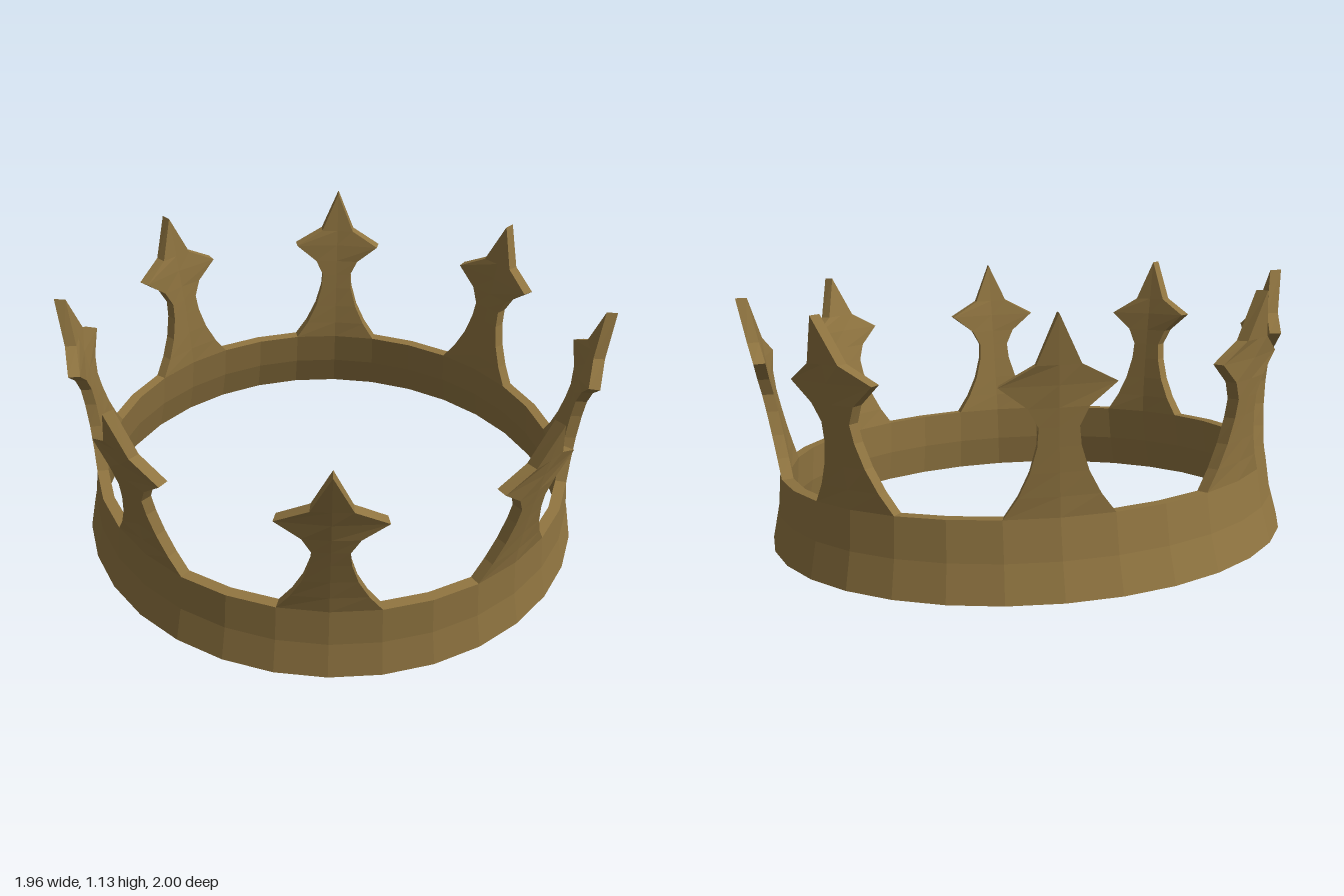
import * as THREE from 'three';

const THICK = 0.04, BAND_TOP = 0.25, SPIKES = 8;

// Outer radius of a spike at height h: it leans gently outwards
const radius = h => 0.872 + 0.108 * Math.pow(Math.max(0, (h - BAND_TOP) / 0.615), 1.3);

// Spike outline: [half width, height], from the flared foot to the pointed tip
const OUTLINE = [
  [0.171, 0.25], [0.125, 0.315], [0.088, 0.39], [0.065, 0.47], [0.06, 0.53],
  [0.09, 0.588], [0.175, 0.655], [0.066, 0.715], [0, 0.865],
];

function spikeGeometry() {
  const pos = [];
  // side: -1 left edge, 0 middle crease, 1 right edge; depth: 0 outer, 1 inner
  const point = (row, side, depth) => {
    const [w, h] = OUTLINE[row];
    const a = side * w / radius(h), r = radius(h) - depth * THICK;
    return [r * Math.sin(a), h, r * Math.cos(a)];
  };
  const quad = (a, b, c, d) => pos.push(...a, ...b, ...c, ...a, ...c, ...d);
  for (let i = 0; i < OUTLINE.length - 1; i++) {
    const j = i + 1;
    for (const s of [-1, 0]) {
      quad(point(i, s, 0), point(i, s + 1, 0), point(j, s + 1, 0), point(j, s, 0));
      quad(point(i, s + 1, 1), point(i, s, 1), point(j, s, 1), point(j, s + 1, 1));
    }
    quad(point(i, 1, 0), point(i, 1, 1), point(j, 1, 1), point(j, 1, 0));
    quad(point(i, -1, 1), point(i, -1, 0), point(j, -1, 0), point(j, -1, 1));
  }
  const geo = new THREE.BufferGeometry();
  geo.setAttribute('position', new THREE.Float32BufferAttribute(pos, 3));
  geo.computeVertexNormals();
  return geo;
}

export function createModel() {
  const model = new THREE.Group();
  model.name = 'crown';
  const gold = new THREE.MeshStandardMaterial({ color: 0x8f7440, flatShading: true });
  gold.name = 'old gold';

  // Tilted body: higher at the back, with a slight roll and turn
  const body = new THREE.Group();
  body.name = 'crownBody';
  body.position.set(-0.018, 0.132, -0.095);
  body.rotation.set(0.143, -0.012, -0.022, 'ZXY');
  model.add(body);

  // Band: closed cross-section, wider at the foot
  const section = [
    [0.914, 0], [0.886, 0.12], [0.872, BAND_TOP],
    [0.872 - THICK, BAND_TOP], [0.886 - THICK, 0.12], [0.914 - THICK, 0], [0.914, 0],
  ].map(([x, y]) => new THREE.Vector2(x, y));
  const band = new THREE.Mesh(new THREE.LatheGeometry(section, SPIKES * 4), gold);
  band.name = 'band';
  body.add(band);

  // Spikes around the band
  const geo = spikeGeometry();
  for (let i = 0; i < SPIKES; i++) {
    const spike = new THREE.Mesh(geo, gold);
    spike.name = 'spike' + (i + 1);
    spike.rotation.y = i * 2 * Math.PI / SPIKES;
    body.add(spike);
  }
  return model;
}
